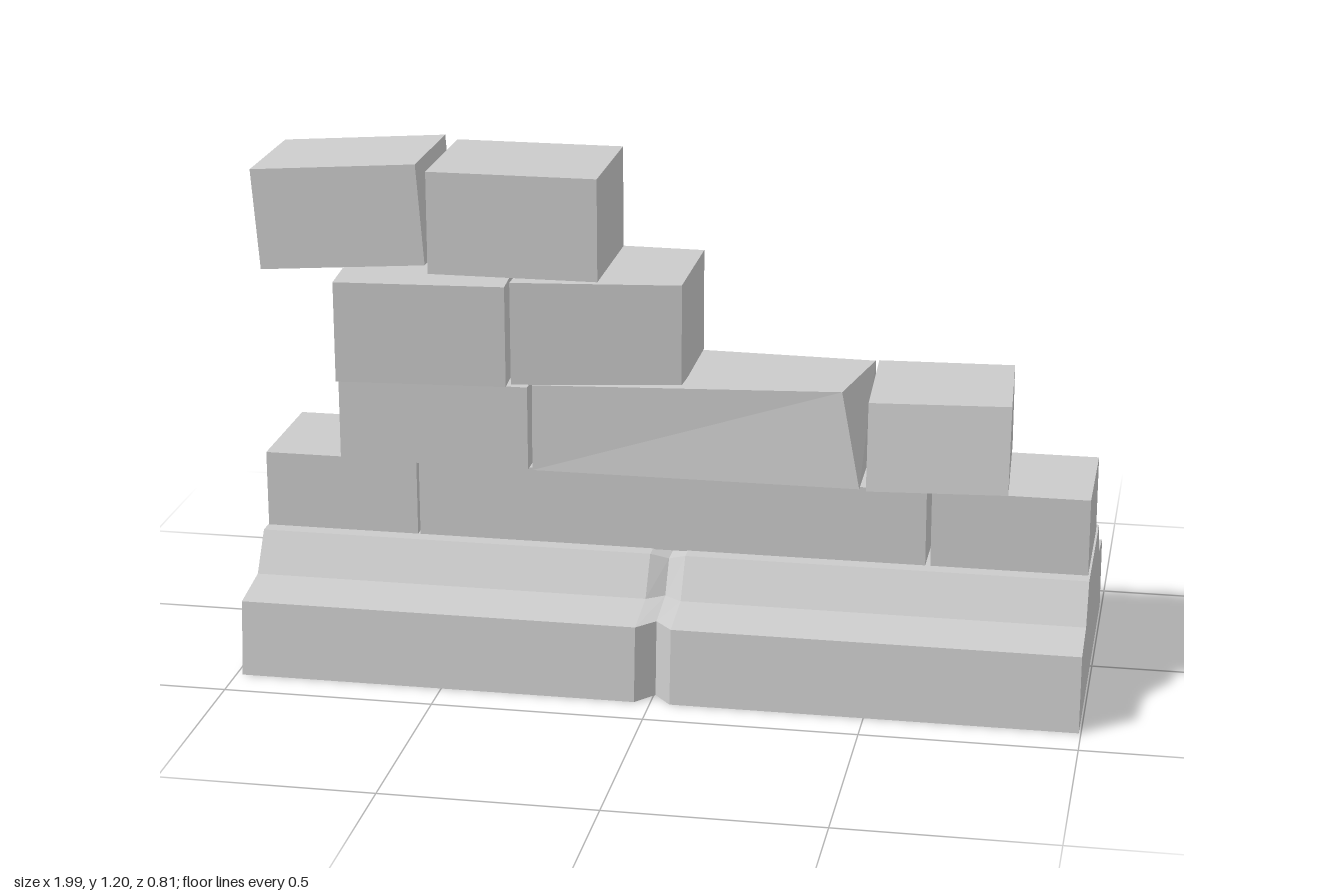
import * as THREE from 'three';

const material = new THREE.MeshStandardMaterial({ color: 0xcccccc, flatShading: true, side: THREE.DoubleSide });

// Straight stone: x, y and z ranges, turned about its centre
function brick(name, [x0, x1], [y0, y1], [z0, z1], turnY = 0, turnZ = 0) {
  const mesh = new THREE.Mesh(new THREE.BoxGeometry(x1 - x0, y1 - y0, z1 - z0), material);
  mesh.position.set((x0 + x1) / 2, (y0 + y1) / 2, (z0 + z1) / 2);
  mesh.rotation.set(0, turnY, turnZ);
  mesh.name = name;
  return mesh;
}

// Uneven stone: a box with its corners moved.
// Corners [x, y, z] run back left, back right, front right, front left
function hewnStone(name, bottom, top) {
  const geometry = new THREE.BoxGeometry(1, 1, 1);
  const p = geometry.attributes.position;
  for (let i = 0; i < p.count; i++) {
    const ring = p.getY(i) > 0 ? top : bottom;
    const right = p.getX(i) > 0;
    const k = p.getZ(i) > 0 ? (right ? 2 : 3) : (right ? 1 : 0);
    p.setXYZ(i, ...ring[k]);
  }
  geometry.computeVertexNormals();
  const mesh = new THREE.Mesh(geometry, material);
  mesh.name = name;
  return mesh;
}

// Stepped plinth: one profile carried along x, pinched in at the middle crack
function plinth() {
  const full = [[0.405, 0], [0.387, 0.18], [0.255, 0.2], [0.192, 0.29],
    [-0.192, 0.29], [-0.255, 0.2], [-0.387, 0.18], [-0.405, 0]];
  const crack = [[0.355, 0], [0.34, 0.18], [0.225, 0.2], [0.175, 0.275],
    [-0.175, 0.275], [-0.215, 0.2], [-0.387, 0.18], [-0.405, 0]];
  const sections = [[-0.985, full], [-0.038, full], [0.004, crack], [0.046, full], [0.995, full]];
  const n = full.length, positions = [], index = [];
  for (const [x, ring] of sections) for (const [z, y] of ring) positions.push(x, y, z);
  const quad = (a, b, c, d) => index.push(a, b, c, a, c, d);
  for (let s = 0; s < sections.length - 1; s++) {
    for (let i = 0; i < n; i++) {
      const j = (i + 1) % n;
      quad(s * n + i, (s + 1) * n + i, (s + 1) * n + j, s * n + j);
    }
  }
  // End caps, in bands from front to back
  const last = (sections.length - 1) * n;
  for (let i = 0; i < n / 2 - 1; i++) {
    quad(i, i + 1, n - 2 - i, n - 1 - i);
    quad(last + i, last + n - 1 - i, last + n - 2 - i, last + i + 1);
  }
  const indexed = new THREE.BufferGeometry();
  indexed.setAttribute('position', new THREE.Float32BufferAttribute(positions, 3));
  indexed.setIndex(index);
  const geometry = indexed.toNonIndexed();
  geometry.computeVertexNormals();
  const mesh = new THREE.Mesh(geometry, material);
  mesh.name = 'plinth';
  return mesh;
}

export function createModel() {
  const wall = new THREE.Group();
  wall.name = 'ruinedWall';
  wall.add(plinth());

  // First course
  const spans = [[-0.983, -0.612], [-0.606, 0.61], [0.622, 0.99]];
  spans.forEach((x, i) => wall.add(brick(`firstCourseStone${i + 1}`, x, [0.288, 0.475], [-0.155, 0.155])));

  // Second course, with a broken end on the long stone
  wall.add(
    brick('secondCourseLeftStone', [-0.79, -0.333], [0.48, 0.683], [-0.188, 0.182]),
    hewnStone('secondCourseLongStone',
      [[-0.322, 0.48, -0.188], [0.45, 0.48, -0.175], [0.455, 0.48, 0.185], [-0.322, 0.48, 0.185]],
      [[-0.322, 0.685, -0.188], [0.447, 0.683, -0.17], [0.408, 0.705, 0.155], [-0.322, 0.688, 0.178]]),
    hewnStone('secondCourseRightStone',
      [[0.455, 0.48, -0.175], [0.78, 0.48, -0.192], [0.8, 0.48, 0.17], [0.472, 0.48, 0.197]],
      [[0.455, 0.683, -0.175], [0.78, 0.683, -0.192], [0.8, 0.683, 0.13], [0.47, 0.683, 0.157]]),
  );

  // Third course
  const sideways = [[-0.372, -0.188], [0.027, -0.178], [0.027, 0.133], [-0.372, 0.18]];
  const level = (y) => sideways.map(([x, z]) => [x, y, z]);
  wall.add(
    brick('thirdCourseLeftStone', [-0.797, -0.393], [0.69, 0.933], [-0.223, 0.223], 0.07),
    hewnStone('thirdCourseRightStone', level(0.688), level(0.936)),
  );

  // Top course, its outer stone tipped
  wall.add(
    brick('topCourseLeftStone', [-0.99, -0.59], [0.944, 1.187], [-0.148, 0.148], 0, 0.073),
    brick('topCourseRightStone', [-0.572, -0.167], [0.942, 1.188], [-0.16, 0.16]),
  );
  return wall;
}
